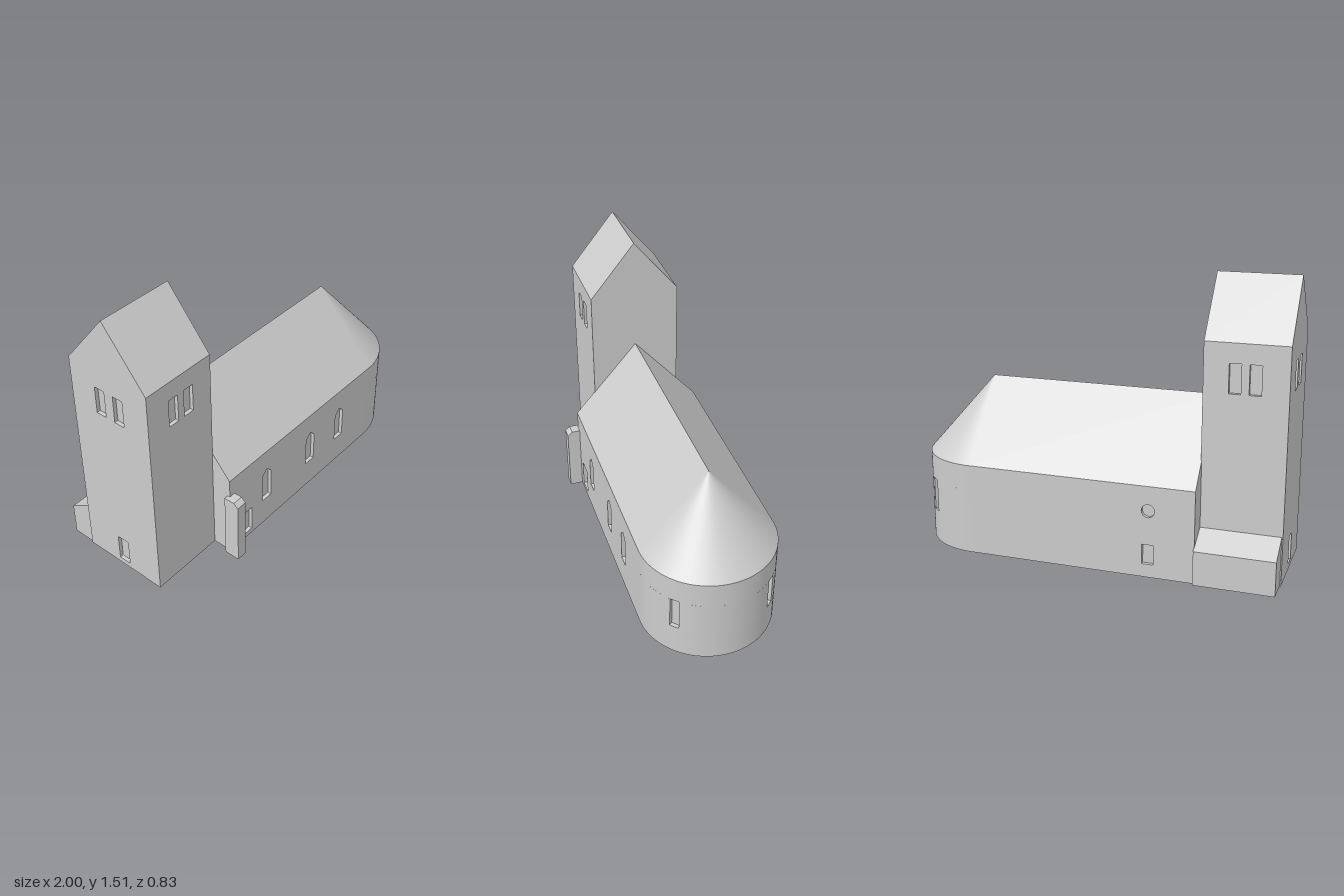
import * as THREE from 'three';
import { toCreasedNormals } from 'three/addons/utils/BufferGeometryUtils.js';

const stone = new THREE.MeshStandardMaterial({ color: 0xcccccc });
stone.name = 'pale grey stone';

const RECESS = 0.02; // depth of windows and doors
const NAVE = { west: -0.574, east: 0.643, half: 0.355, eave: 0.485, ridge: 0.89 };
const TOWER = { west: -0.99, east: -0.57, half: 0.245, eave: 1.21, ridge: 1.51 };

function add(parent, name, geometry) {
  const mesh = new THREE.Mesh(geometry, stone);
  mesh.name = name;
  parent.add(mesh);
  return mesh;
}

const points = (list) => list.map(([x, y]) => new THREE.Vector2(x, y));
const extrude = (shape, depth) =>
  new THREE.ExtrudeGeometry(shape, { depth, bevelEnabled: false, curveSegments: 24 });

// Opening outlines
const rect = (cx, w, y0, y1) => new THREE.Path(points([
  [cx - w / 2, y0], [cx + w / 2, y0], [cx + w / 2, y1], [cx - w / 2, y1]]));
const pointed = (cx, w, y0, y1, top) => new THREE.Path(points([
  [cx - w / 2, y0], [cx + w / 2, y0], [cx + w / 2, y1], [cx, top], [cx - w / 2, y1]]));
const round = (cx, cy, r) => new THREE.Path().absarc(cx, cy, r, 0, Math.PI * 2, true);

// Upright slab with openings, outer face towards +z
function wall(x0, x1, height, holes) {
  const shape = new THREE.Shape(points([[x0, 0], [x1, 0], [x1, height], [x0, height]]));
  shape.holes.push(...holes);
  return extrude(shape, RECESS);
}

// Solid with a (z, y) profile running from x0 to x1
function prism(profile, x0, x1) {
  return extrude(new THREE.Shape(points(profile)), x1 - x0)
    .rotateY(-Math.PI / 2).translate(x1, 0, 0);
}

const block = (half, height) => [[-half, 0], [half, 0], [half, height], [-half, height]];
const gable = (half, eave, ridge) => [[-half, eave], [half, eave], [0, ridge]];

// Piece of the curved wall between two angles and two heights
function ringSector(a0, a1, y0, y1) {
  const shape = new THREE.Shape();
  shape.absarc(0, 0, NAVE.half, a0, a1, false);
  shape.absarc(0, 0, NAVE.half - RECESS, a1, a0, true);
  return toCreasedNormals(
    extrude(shape, y1 - y0).rotateX(-Math.PI / 2).translate(NAVE.east, y0, 0), 0.5);
}

function buildNave() {
  const g = new THREE.Group();
  g.name = 'nave';
  const { west, east, half, eave, ridge } = NAVE;
  add(g, 'naveCore', prism(block(half - RECESS, eave), west, east));
  add(g, 'naveRoof', prism(gable(half, eave, ridge), west, east));

  const lancets = [-0.277, 0.098, 0.366].map((x) => pointed(x, 0.07, 0.16, 0.33, 0.365));
  add(g, 'naveFrontWall', wall(west, east, eave, [...lancets, rect(-0.447, 0.09, 0.03, 0.18)]))
    .position.z = half - RECESS;

  const back = add(g, 'naveBackWall', wall(-east, -west, eave,
    [round(0.334, 0.355, 0.034), rect(0.334, 0.06, 0.07, 0.175)]));
  back.rotation.y = Math.PI;
  back.position.z = RECESS - half;
  return g;
}

function buildApse() {
  const g = new THREE.Group();
  g.name = 'apse';
  const { east, half, eave, ridge } = NAVE;
  const q = Math.PI / 2, a = Math.PI / 4, d = 0.07; // windows at +-45 degrees
  const y0 = 0.17, y1 = 0.35;
  add(g, 'apseCore', new THREE.CylinderGeometry(half - RECESS, half - RECESS, eave, 48, 1, false, 0, Math.PI)
    .translate(east, eave / 2, 0));
  add(g, 'apseLowerWall', ringSector(-q, q, 0, y0));
  for (const [s, e] of [[-q, -a - d], [-a + d, a - d], [a + d, q]]) {
    add(g, 'apseWindowWall', ringSector(s, e, y0, y1));
  }
  add(g, 'apseUpperWall', ringSector(-q, q, y1, eave));
  add(g, 'apseRoof', new THREE.ConeGeometry(half, ridge - eave, 64, 1, true, 0, Math.PI)
    .translate(east, (ridge + eave) / 2, 0));
  return g;
}

function buildTower() {
  const g = new THREE.Group();
  g.name = 'tower';
  const { west, east, half, eave, ridge } = TOWER;
  add(g, 'towerCore', prism(block(half - RECESS, eave), west + RECESS, east));
  add(g, 'towerRoof', prism(gable(half, eave, ridge), west, east));

  // Paired belfry openings on three sides
  const pair = (centre, step) =>
    [-1, 1].map((s) => rect(centre + s * step, 0.06, 0.96, 1.11));
  add(g, 'towerFrontWall', wall(west + RECESS, east, eave, pair(-0.774, 0.05)))
    .position.z = half - RECESS;
  const back = add(g, 'towerBackWall', wall(-east, -west - RECESS, eave, pair(0.776, 0.05)));
  back.rotation.y = Math.PI;
  back.position.z = RECESS - half;
  const side = add(g, 'towerWestWall', wall(-half, half, eave,
    [...pair(0, 0.058), rect(0, 0.07, 0.03, 0.18)]));
  side.rotation.y = -Math.PI / 2;
  side.position.x = west + RECESS;
  return g;
}

export function createModel() {
  const church = new THREE.Group();
  church.name = 'church';
  church.add(buildNave(), buildApse(), buildTower());

  // Lean-to behind the tower
  add(church, 'leanTo', prism(
    [[-0.373, 0], [-0.235, 0], [-0.235, 0.266], [-0.373, 0.18]], -0.984, -0.572));

  // Corner buttress with a sloped cap
  add(church, 'buttress', prism(
    [[0.34, 0], [0.426, 0], [0.426, 0.36], [0.4, 0.382], [0.34, 0.382]], -0.597, -0.537));

  // The whole building stands slightly turned
  church.rotation.y = 0.042;
  church.position.set(-0.0016, 0, -0.038);
  const model = new THREE.Group();
  model.name = 'model';
  model.add(church);
  return model;
}
